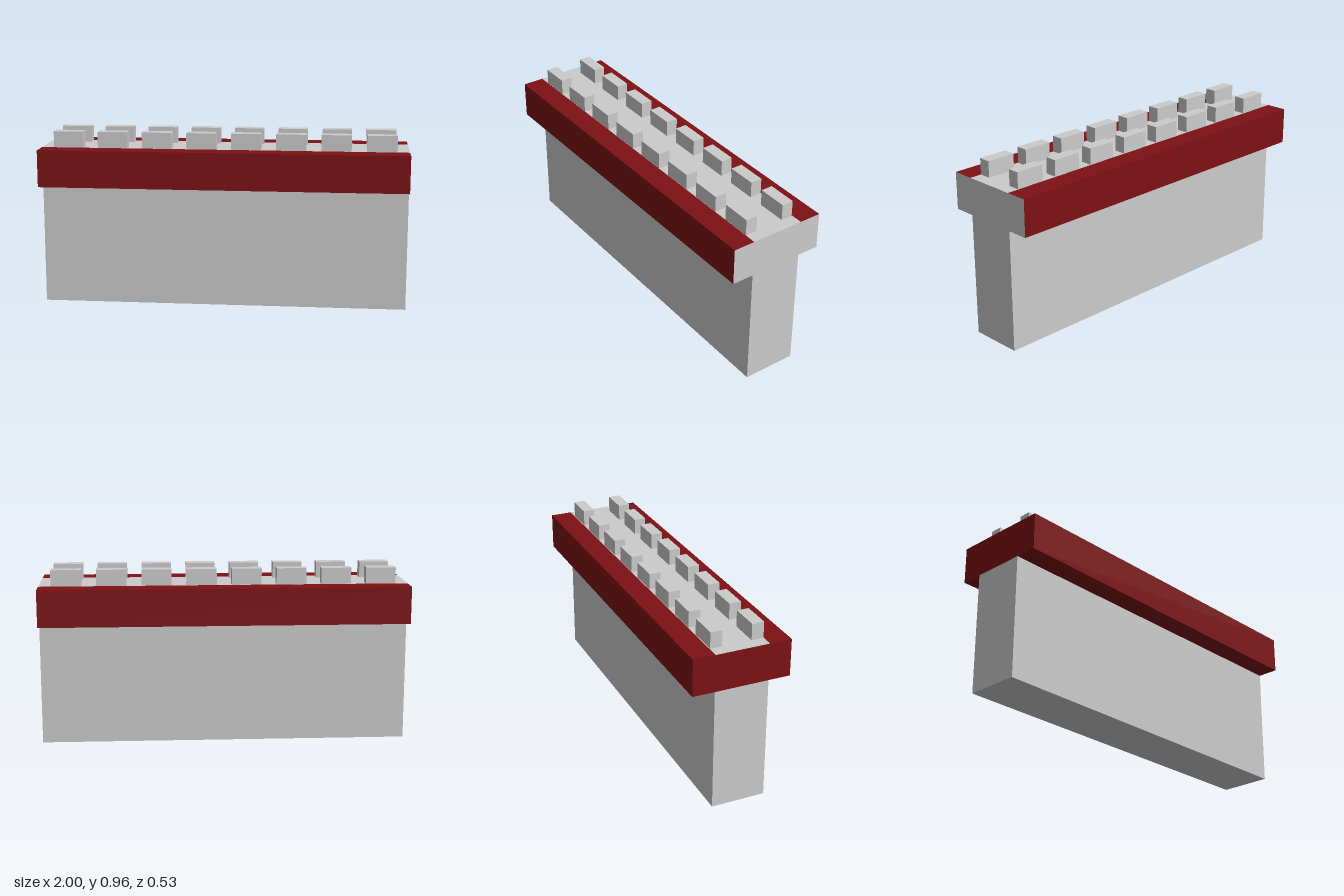
import * as THREE from 'three';

const grey = new THREE.MeshStandardMaterial({ color: 0xcccccc });
const red = new THREE.MeshStandardMaterial({ color: 0x7d1114 });

const WALL_TOP = 0.667, DECK = 0.869, TOP = 0.957;
const WALL_Z = 0.146, BAND_Z = 0.265;

export function createModel() {
  const model = new THREE.Group();
  model.name = 'battlementWall';

  // Box given by its lower and upper corners
  function box(name, lo, hi, material, parent = model) {
    const size = hi.map((v, i) => v - lo[i]);
    const mesh = new THREE.Mesh(new THREE.BoxGeometry(...size), material);
    mesh.position.set(...hi.map((v, i) => (v + lo[i]) / 2));
    mesh.name = name;
    parent.add(mesh);
    return mesh;
  }

  // Main wall
  box('wall', [-1, 0, -WALL_Z], [1, WALL_TOP, WALL_Z], grey);

  // Walkway core: grey, with a red face on the -x end
  box('walkway', [-1, WALL_TOP, -WALL_Z], [1, DECK, WALL_Z],
    [grey, red, grey, grey, grey, grey]);

  // Overhanging red bands, grey on the +x end
  const bandMaterials = [grey, red, red, red, red, red];
  box('frontBand', [-1, WALL_TOP, WALL_Z], [1, DECK, BAND_Z], bandMaterials);
  box('backBand', [-1, WALL_TOP, -BAND_Z], [1, DECK, -WALL_Z], bandMaterials);

  // Two rows of eight merlons
  for (const [name, z0, z1] of [['front', 0.08, 0.145], ['back', -0.143, -0.079]]) {
    const row = new THREE.Group();
    row.name = `${name}Merlons`;
    model.add(row);
    for (let i = 0; i < 8; i++) {
      const x = (i - 3.5) * 0.2435;
      box(`${name}Merlon${i + 1}`, [x - 0.081, DECK, z0], [x + 0.081, TOP, z1], grey, row);
    }
  }
  return model;
}
